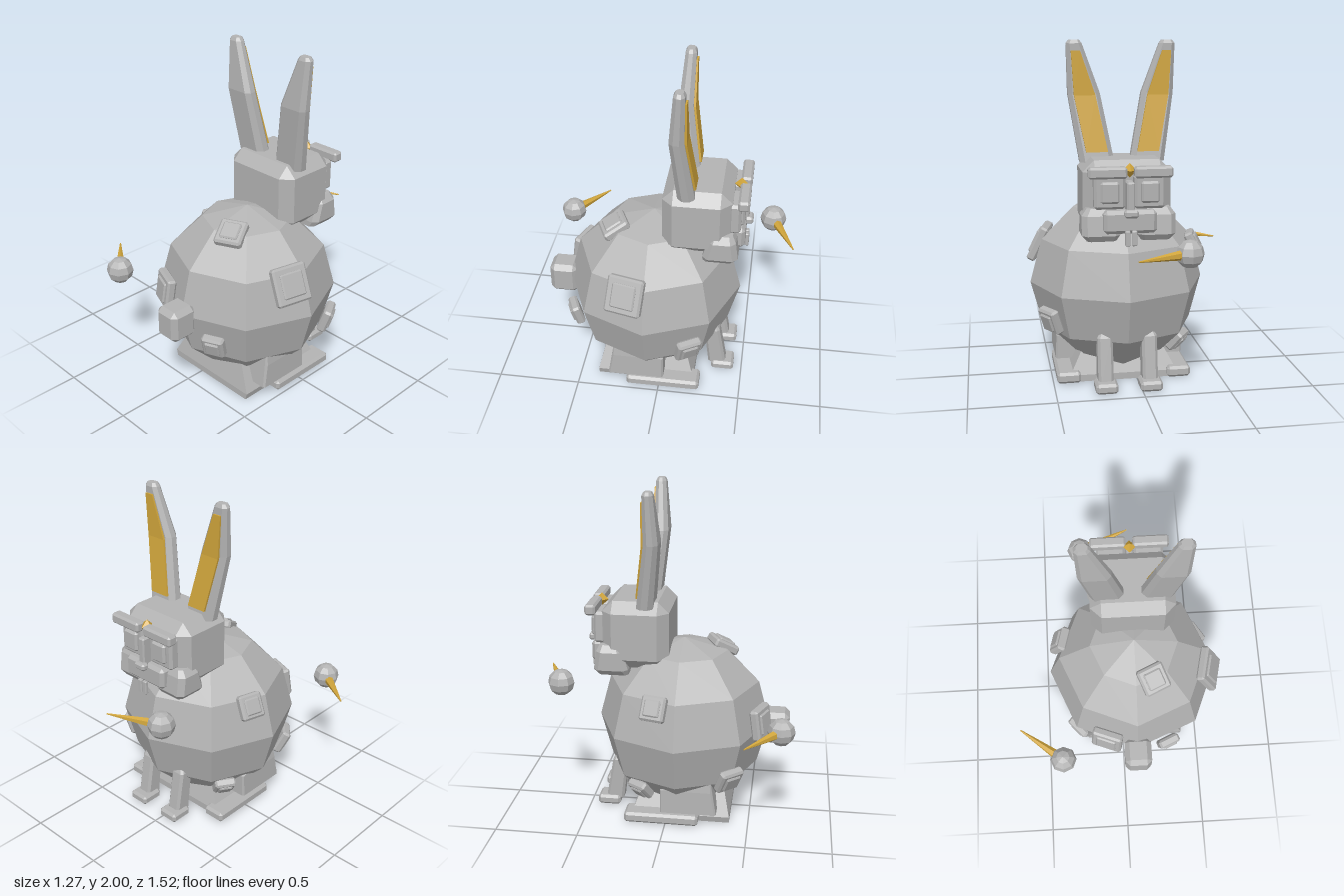
import * as THREE from 'three';
import { ConvexGeometry } from 'three/addons/geometries/ConvexGeometry.js';

const CX = 0.08; // symmetry plane of the animal
const V = (x, y, z) => new THREE.Vector3(x, y, z);

// Box with every edge and corner cut off
function chamferBox(w, h, d, c) {
  const pts = [];
  for (const i of [-1, 1]) for (const j of [-1, 1]) for (const k of [-1, 1]) {
    const x = w / 2, y = h / 2, z = d / 2;
    pts.push(V(i * x, j * (y - c), k * (z - c)),
      V(i * (x - c), j * y, k * (z - c)),
      V(i * (x - c), j * (y - c), k * z));
  }
  return new ConvexGeometry(pts);
}

// Convex solid through level sections [y, x0, x1, z0, z1, chamfer], mirrored by side
function sections(list, side = 1) {
  const pts = [];
  for (const [y, x0, x1, z0, z1, c] of list) {
    for (const [x, dx] of [[x0, c], [x1, -c]]) for (const [z, dz] of [[z0, c], [z1, -c]]) {
      pts.push(V(side * (x + dx), y, z));
      if (c) pts.push(V(side * x, y, z + dz));
    }
  }
  return new ConvexGeometry(pts);
}

export function createModel() {
  const grey = new THREE.MeshStandardMaterial({ color: 0xb3b3b3, flatShading: true });
  grey.name = 'grey';
  const gold = new THREE.MeshStandardMaterial({ color: 0xd0a53c, flatShading: true });
  gold.name = 'gold';

  const model = new THREE.Group();
  model.name = 'rabbit';
  const rabbit = new THREE.Group();
  rabbit.name = 'animal';
  rabbit.position.x = CX;
  model.add(rabbit);

  const add = (name, geo, mat = grey, pos = [0, 0, 0], parent = rabbit) => {
    const m = new THREE.Mesh(geo, mat);
    m.name = name;
    m.position.set(...pos);
    parent.add(m);
    return m;
  };
  // Chamfered block given by its extents
  const block = (name, x0, x1, y0, y1, z0, z1, c) =>
    add(name, chamferBox(Math.abs(x1 - x0), y1 - y0, z1 - z0, c), grey,
      [(x0 + x1) / 2, (y0 + y1) / 2, (z0 + z1) / 2]);

  // Body, tail and head
  const centre = V(0, 0.55, 0.07);
  add('body', new THREE.SphereGeometry(0.53, 8, 6), grey, centre.toArray());
  block('tail', -0.083, 0.083, 0.435, 0.635, 0.55, 0.725, 0.03);
  block('head', -0.25, 0.25, 0.935, 1.345, -0.4, 0, 0.065);

  // Face
  block('muzzle', -0.15, 0.15, 0.95, 1.08, -0.475, -0.36, 0.02);
  block('nose', -0.04, 0.04, 1.045, 1.09, -0.515, -0.465, 0.012);
  block('noseBridge', -0.022, 0.022, 1.07, 1.24, -0.49, -0.39, 0.008);
  add('browGem', new THREE.OctahedronGeometry(0.04), gold, [0, 1.3, -0.435]);
  for (const s of [-1, 1]) {
    add('cheek', sections([
      [0.9, 0.07, 0.235, -0.42, -0.24, 0.02],
      [0.935, 0.05, 0.265, -0.445, -0.24, 0.03],
      [1.045, 0.05, 0.265, -0.43, -0.27, 0.03],
      [1.085, 0.08, 0.235, -0.41, -0.29, 0.02]], s));
    block('eyeFrame', s * 0.025, s * 0.2, 1.085, 1.275, -0.45, -0.38, 0.015);
    block('eye', s * 0.06, s * 0.165, 1.12, 1.24, -0.47, -0.43, 0.012);
    block('brow', s * 0.02, s * 0.235, 1.262, 1.325, -0.495, -0.43, 0.012);
    block('tooth', s * 0.004, s * 0.034, 0.885, 0.97, -0.495, -0.472, 0.005);

    // Ears: a lower and an upper half meeting at a bend
    const bend = [1.7, 0.12, 0.305, -0.135, -0.05, 0.025];
    add('lowerEar', sections([[1.31, 0.045, 0.245, -0.19, -0.09, 0.03], bend], s));
    add('upperEar', sections([bend,
      [1.98, 0.222, 0.312, -0.138, -0.075, 0.02],
      [2.0, 0.237, 0.297, -0.128, -0.085, 0.012]], s));
    const inner = [1.69, 0.15, 0.272, -0.148, -0.13, 0];
    add('lowerInnerEar', sections([[1.37, 0.085, 0.21, -0.194, -0.17, 0], inner], s), gold);
    add('upperInnerEar', sections([inner, [1.94, 0.235, 0.287, -0.147, -0.13, 0]], s), gold);

    // Hind legs
    add('thigh', sections([
      [0.085, 0.22, 0.39, -0.03, 0.31, 0.01],
      [0.23, 0.22, 0.385, -0.03, 0.285, 0.01],
      [0.33, 0.25, 0.37, 0.24, 0.27, 0.005]], s));
    block('hindFoot', s * 0.26, s * 0.4, 0.005, 0.07, -0.25, 0.2, 0.015);

    // Forelegs
    add('foreleg', sections([
      [0.05, 0.085, 0.175, -0.4, -0.29, 0.015],
      [0.31, 0.085, 0.175, -0.355, -0.26, 0.015],
      [0.345, 0.105, 0.155, -0.335, -0.29, 0.01]], s));
    block('forePaw', s * 0.065, s * 0.195, 0.005, 0.065, -0.45, -0.31, 0.015);
  }

  // Sloping seat under the body
  add('base', sections([
    [0, -0.31, 0.31, -0.21, 0.385, 0],
    [0.04, -0.32, 0.32, -0.21, 0.385, 0],
    [0.2, -0.235, 0.235, -0.15, 0.345, 0]]));

  // Square patches set radially around the body: direction, size
  const patches = [
    [-0.19, 0.08, 0.49, 0.19], [0.205, -0.145, 0.47, 0.135],
    [-0.37, -0.25, 0.33, 0.155], [0.105, 0.47, 0.23, 0.165],
    [0.47, 0.235, 0.11, 0.22], [0.45, -0.175, -0.27, 0.15],
    [-0.455, 0.24, -0.125, 0.15], [-0.35, -0.35, -0.23, 0.13]];
  for (const [x, y, z, size] of patches) {
    const g = new THREE.Group();
    g.name = 'patch';
    const dir = V(x, y, z).normalize();
    g.position.copy(centre).addScaledVector(dir, 0.525);
    g.quaternion.setFromRotationMatrix(
      new THREE.Matrix4().lookAt(dir, V(0, 0, 0), V(0, 1, 0)));
    add('patchPlate', chamferBox(size, size, 0.055, 0.012), grey, [0, 0, 0], g);
    add('patchCentre', chamferBox(size * 0.66, size * 0.66, 0.03, 0.008), grey, [0, 0, 0.023], g);
    rabbit.add(g);
  }

  // Floating balls, each with a golden spike
  const balls = [
    [[-0.38, 0.693, 0.68], [-0.638, 0.693, 0.483]],
    [[-0.22, 0.865, -0.63], [0.085, 0.865, -0.76]]];
  for (const [p, t] of balls) {
    add('floatingBall', new THREE.SphereGeometry(0.08, 8, 6), grey, p, model);
    const from = V(...p), to = V(...t);
    const dir = to.clone().sub(from).normalize();
    from.addScaledVector(dir, 0.06);
    const spike = add('spike', new THREE.CylinderGeometry(0.004, 0.028, from.distanceTo(to), 6),
      gold, from.clone().add(to).multiplyScalar(0.5).toArray(), model);
    spike.quaternion.setFromUnitVectors(V(0, 1, 0), dir);
  }
  return model;
}
